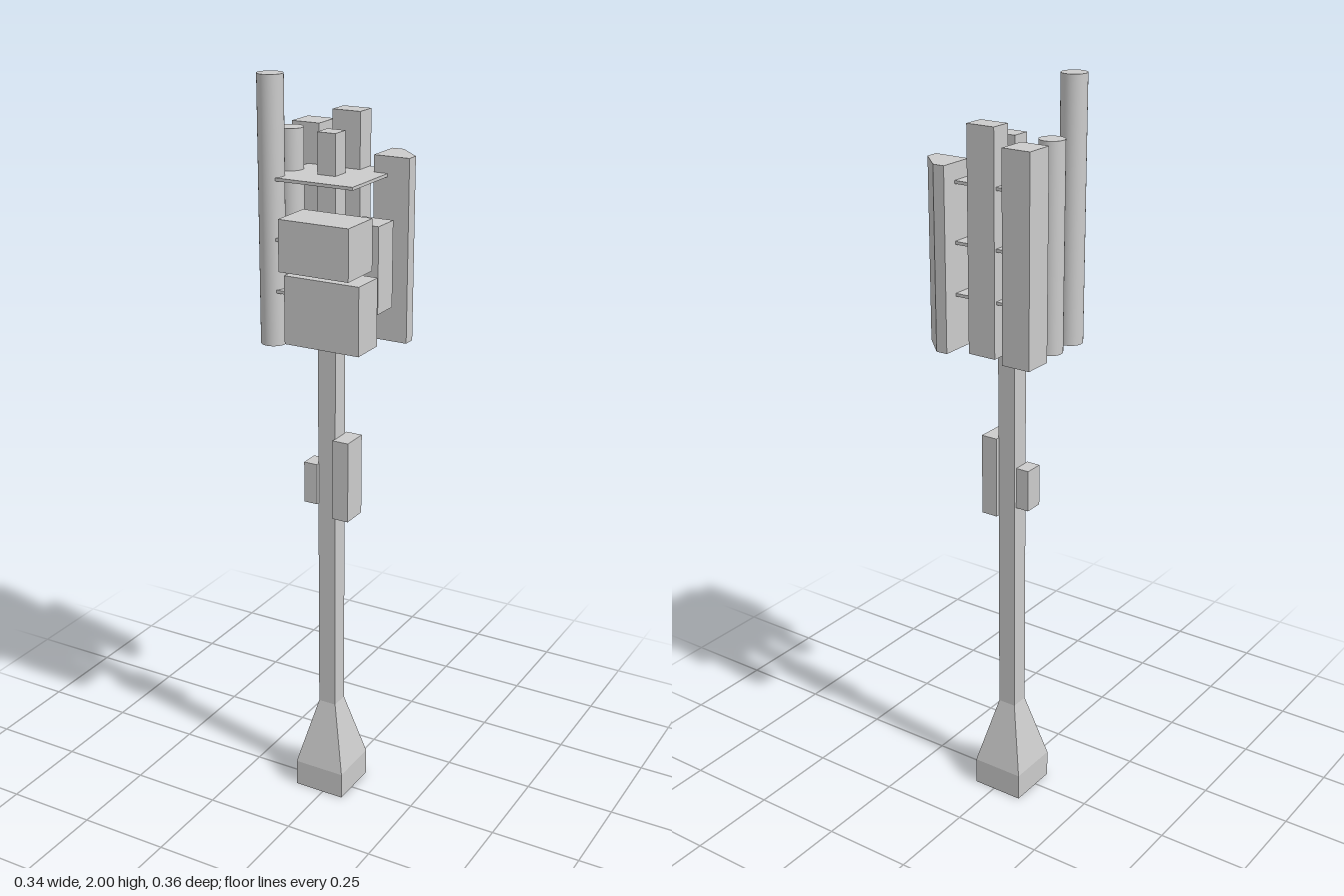
import * as THREE from 'three';

export function createModel() {
  const model = new THREE.Group();
  const grey = new THREE.MeshStandardMaterial({ color: 0xcccccc });
  const faceted = new THREE.MeshStandardMaterial({ color: 0xcccccc, flatShading: true });
  const poleX = -0.012, poleZ = -0.0125;

  function add(name, geometry, x, y, z, material = grey) {
    const mesh = new THREE.Mesh(geometry, material);
    mesh.name = name;
    mesh.position.set(x, y, z);
    model.add(mesh);
    return mesh;
  }

  // Box given by its limits along each axis
  function box(name, [x0, x1], [y0, y1], [z0, z1]) {
    add(name, new THREE.BoxGeometry(x1 - x0, y1 - y0, z1 - z0),
      (x0 + x1) / 2, (y0 + y1) / 2, (z0 + z1) / 2);
  }

  // Square foot, tapering plinth and mast
  const footHalf = 0.073, mastHalf = 0.0255;
  box('foot', [poleX - footHalf, poleX + footHalf], [0, 0.075], [poleZ - footHalf, poleZ + footHalf]);
  const taper = new THREE.CylinderGeometry(mastHalf * Math.SQRT2, footHalf * Math.SQRT2, 0.19, 4, 1);
  taper.rotateY(Math.PI / 4);
  add('plinthTaper', taper, poleX, 0.17, poleZ, faceted);
  box('mast', [poleX - mastHalf, poleX + mastHalf], [0.265, 1.858], [poleZ - mastHalf, poleZ + mastHalf]);

  // Thin mounting plates
  for (const y of [1.468, 1.6, 1.75]) {
    box('mountingPlate', [-0.125, 0.108], [y - 0.004, y + 0.004], [-0.137, 0.098]);
  }

  // Tubular antennas
  const bottom = 1.325;
  for (const [z, top] of [[-0.018, 1.858], [0.075, 2]]) {
    add('tubeAntenna', new THREE.CylinderGeometry(0.033, 0.033, top - bottom, 32),
      -0.131, (top + bottom) / 2, z);
  }

  // Square-section antennas at the back
  box('cornerAntenna', [-0.17, -0.091], [bottom, 1.858], [-0.169, -0.09]);
  box('backAntenna', [-0.052, 0.027], [bottom, 1.897], [-0.145, -0.088]);

  // Antenna with a chamfered outer corner; shape y becomes -z
  const outline = [[0.07, 0.08], [0.168, 0.08], [0.168, 0.114], [0.102, 0.179], [0.07, 0.179]];
  const chamfered = new THREE.ExtrudeGeometry(
    new THREE.Shape(outline.map(([x, y]) => new THREE.Vector2(x, y))),
    { depth: 1.797 - bottom, bevelEnabled: false });
  chamfered.rotateX(-Math.PI / 2);
  add('chamferedAntenna', chamfered, 0, bottom, 0);

  // Radio units around the plates
  box('upperRadio', [-0.052, 0.141], [1.545, 1.675], [0.057, 0.177]);
  box('lowerRadio', [-0.052, 0.156], [1.355, 1.53], [0.057, 0.152]);
  box('sideRadio', [0.056, 0.14], [1.425, 1.647], [-0.053, 0.024]);

  // Cabinets on the mast
  box('powerCabinet', [0.012, 0.058], [0.842, 1.065], [-0.05, 0.025]);
  box('meterBox', [-0.075, -0.036], [0.873, 0.987], [-0.03, 0.023]);

  return model;
}
